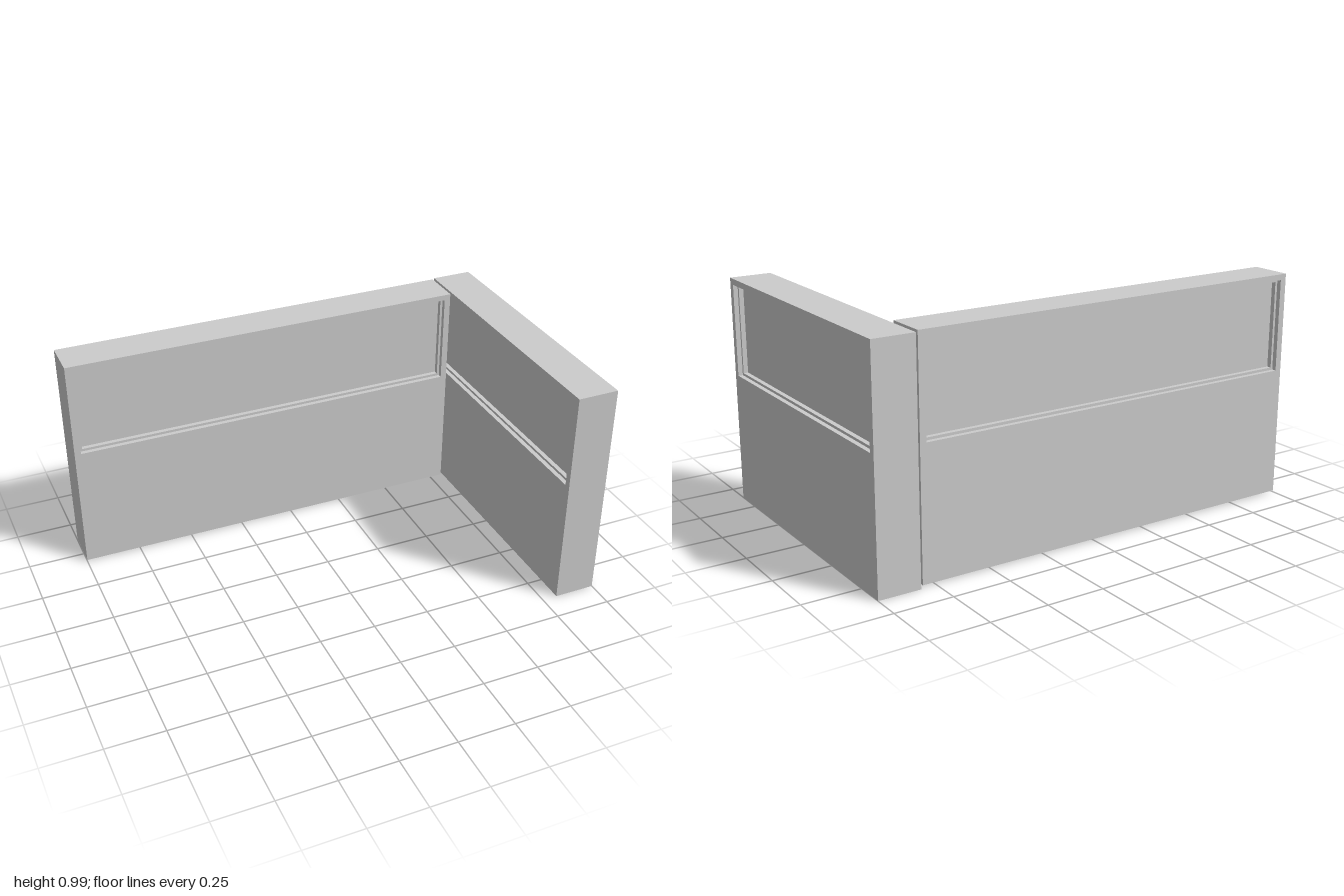
import * as THREE from 'three';

const material = new THREE.MeshStandardMaterial({ color: 0xcccccc, side: THREE.DoubleSide });

// One broad face: nested rectangles [x0, x1, y0, y1, z] joined by flat bands, then closed by a panel
function steppedFace(loops) {
  const pos = [];
  const corners = ([x0, x1, y0, y1, z]) => [[x0, y0, z], [x1, y0, z], [x1, y1, z], [x0, y1, z]];
  const quad = (a, b, c, d) => pos.push(...a, ...b, ...c, ...a, ...c, ...d);
  for (let i = 0; i < loops.length - 1; i++) {
    const p = corners(loops[i]), q = corners(loops[i + 1]);
    for (let k = 0; k < 4; k++) {
      const n = (k + 1) % 4;
      quad(p[k], p[n], q[n], q[k]);
    }
  }
  quad(...corners(loops[loops.length - 1]));
  const g = new THREE.BufferGeometry();
  g.setAttribute('position', new THREE.Float32BufferAttribute(pos, 3));
  g.computeVertexNormals();
  return g;
}

// Hollow partition wall, open underneath, with a stepped recess on both broad faces
function makeWall(name, length, height, thickness, recessY0, recessY1) {
  const wall = new THREE.Group();
  wall.name = name;
  const h = length / 2, t = thickness / 2, margin = 0.028, lip = 0.011, step = 0.02;
  const add = (partName, geometry) => {
    const mesh = new THREE.Mesh(geometry, material);
    mesh.name = partName;
    wall.add(mesh);
    return mesh;
  };

  // Recessed faces, front and back
  const rim = h - margin, inner = rim - lip;
  const face = steppedFace([
    [-h, h, 0, height, t],
    [-rim, rim, recessY0, recessY1, t],
    [-rim, rim, recessY0, recessY1, t - step],
    [-inner, inner, recessY0 + lip, recessY1 - lip, t - step],
    [-inner, inner, recessY0 + lip, recessY1 - lip, t - 2 * step],
  ]);
  add('frontFace', face);
  add('backFace', face).rotation.y = Math.PI;

  // End caps
  for (const s of [-1, 1]) {
    const end = add(s < 0 ? 'firstEnd' : 'secondEnd', new THREE.PlaneGeometry(thickness, height));
    end.position.set(s * h, height / 2, 0);
    end.rotation.y = s * Math.PI / 2;
  }

  // Top cap
  const top = add('topCap', new THREE.PlaneGeometry(length, thickness));
  top.position.y = height;
  top.rotation.x = -Math.PI / 2;
  return wall;
}

export function createModel() {
  const model = new THREE.Group();
  model.name = 'partitionWalls';

  // Long wall across the back
  const backWall = makeWall('backWall', 1.803, 0.985, 0.178, 0.56, 0.96);
  backWall.position.set(-0.0985, 0.007, -0.526);
  model.add(backWall);

  // Shorter wall standing at a right angle to it
  const sideWall = makeWall('sideWall', 1.258, 0.989, 0.182, 0.566, 0.963);
  sideWall.position.set(0.909, 0, 0);
  sideWall.rotation.y = Math.PI / 2;
  model.add(sideWall);

  return model;
}
